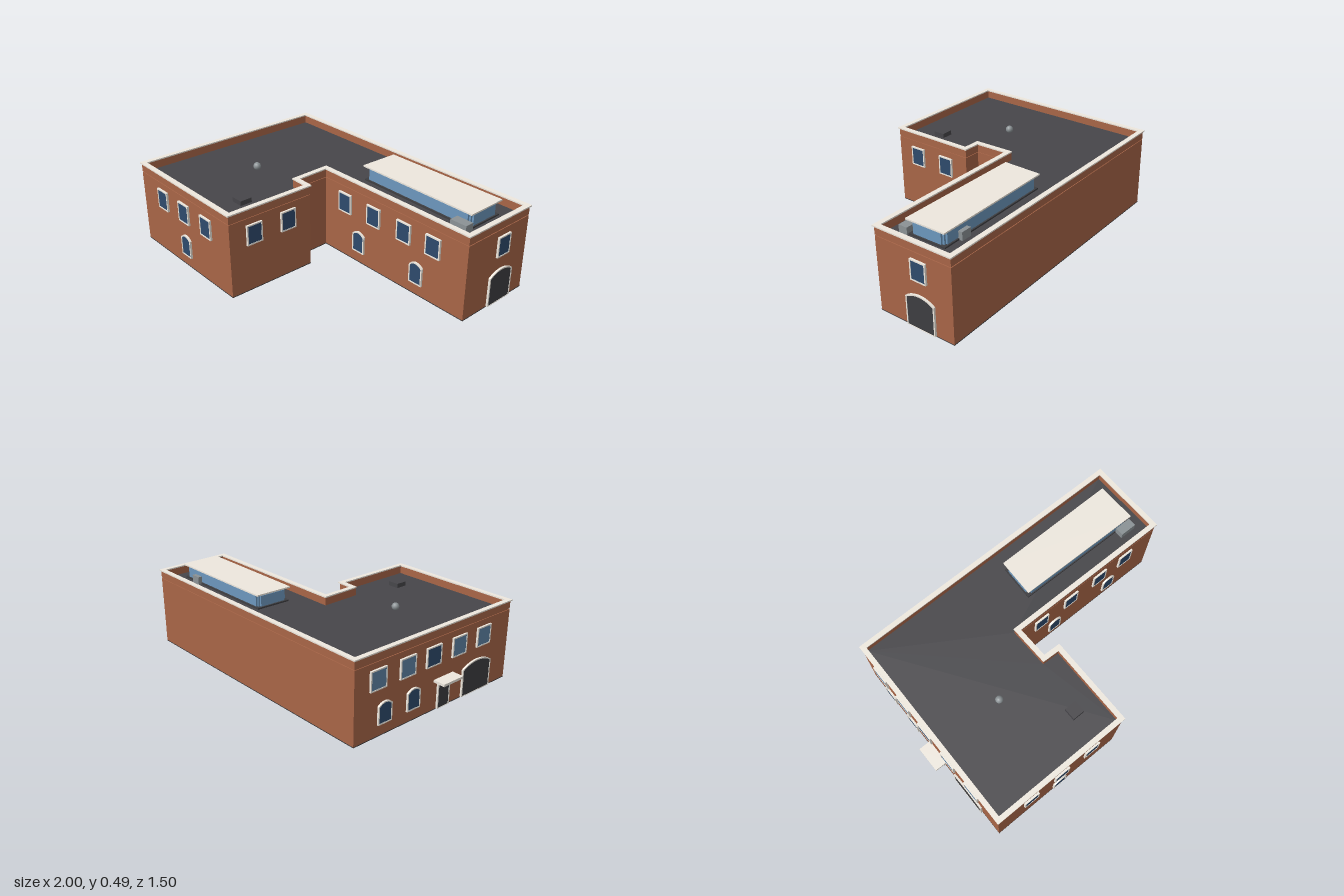
import * as THREE from 'three';

const mat = (color) => new THREE.MeshStandardMaterial({ color });
const BRICK = mat(0xa86547), STONE = mat(0xeee8de), ROOF = mat(0x47464a), DARK = mat(0x3e3e41);
const GLASS = mat(0x2e4a6c), PALEGLASS = mat(0x5f84a6), SKYGLASS = mat(0x6c97bd);
const METAL = mat(0x8b9295), BASE = mat(0x37373a);

// Wall footprint as [x, z], clockwise seen from above
const PLAN = [
  [-0.992, 0.05], [-0.18, -0.742], [0.992, 0.425], [0.677, 0.743],
  [-0.005, 0.06], [-0.14, 0.2], [-0.073, 0.272], [-0.427, 0.619],
];

const edgeNormal = (p, q) => {
  const l = Math.hypot(q[0] - p[0], q[1] - p[1]);
  return [(q[1] - p[1]) / l, -(q[0] - p[0]) / l];
};

// Mitred offset of a plan; positive grows it
function offset(pts, d) {
  return pts.map((p, i) => {
    const a = edgeNormal(pts[(i + pts.length - 1) % pts.length], p);
    const b = edgeNormal(p, pts[(i + 1) % pts.length]);
    const k = d / (1 + a[0] * b[0] + a[1] * b[1]);
    return [p[0] + (a[0] + b[0]) * k, p[1] + (a[1] + b[1]) * k];
  });
}

// Put an item on edge i of a plan, at fraction t along it, facing outward
function placeOn(plan, item, i, t) {
  const p = plan[i], q = plan[(i + 1) % plan.length], n = edgeNormal(p, q);
  item.position.x = p[0] + (q[0] - p[0]) * t;
  item.position.z = p[1] + (q[1] - p[1]) * t;
  item.rotation.y = Math.atan2(n[0], n[1]);
  return item;
}

// Vertical prism over a plan, with an optional hole wound the other way
function prism(name, pts, y0, y1, material, hole) {
  const vec = (list) => list.map(([x, z]) => new THREE.Vector2(x, -z));
  const shape = new THREE.Shape(vec(pts));
  if (hole) shape.holes.push(new THREE.Path(vec(hole).reverse()));
  const geo = new THREE.ExtrudeGeometry(shape, { depth: y1 - y0, bevelEnabled: false });
  geo.rotateX(-Math.PI / 2).translate(0, y0, 0);
  const mesh = new THREE.Mesh(geo, material);
  mesh.name = name;
  return mesh;
}

function box(name, w, h, d, x, y, z, material, turn = 0) {
  const mesh = new THREE.Mesh(new THREE.BoxGeometry(w, h, d), material);
  mesh.name = name;
  mesh.position.set(x, y, z);
  mesh.rotation.y = turn;
  return mesh;
}

// Opening outline: straight sides and an optional arched head
function outline(Type, w, y0, y1, rise) {
  const s = new Type();
  s.moveTo(-w / 2, y0);
  s.lineTo(w / 2, y0);
  s.lineTo(w / 2, y1 - rise);
  if (rise) {
    const r = (w * w / 4 + rise * rise) / (2 * rise);
    const half = Math.asin(Math.min(1, w / 2 / r));
    s.absarc(0, y1 - r, r, Math.PI / 2 - half, Math.PI / 2 + half, false);
  } else s.lineTo(-w / 2, y1);
  s.closePath();
  return s;
}

// Framed window or door, facing +z
function opening(name, w, y0, y1, rise, material) {
  const g = new THREE.Group();
  g.name = name;
  const f = 0.007;
  const bottom = y0 > 0.02 ? y0 + f : y0 + 0.003;
  const frameShape = outline(THREE.Shape, w, y0, y1, rise);
  frameShape.holes.push(outline(THREE.Path, w - 2 * f, bottom, y1 - f, rise * 0.9));
  const layer = (part, shape, depth, m) => {
    const geo = new THREE.ExtrudeGeometry(shape, { depth: depth + 0.005, bevelEnabled: false, curveSegments: 10 });
    const mesh = new THREE.Mesh(geo.translate(0, 0, -0.005), m);
    mesh.name = part;
    g.add(mesh);
  };
  layer('frame', frameShape, 0.011, STONE);
  layer('panel', outline(THREE.Shape, w - f, y0 + 0.002, y1 - f / 2, rise * 0.95), 0.009, material);
  return g;
}

export function createModel() {
  const model = new THREE.Group();
  model.name = 'building';

  // Shell: walls, recessed joint, parapet band, coping and flat roof
  const inner = offset(PLAN, -0.018);
  model.add(
    prism('groundSlab', offset(PLAN, 0.001), 0, 0.004, BASE),
    prism('walls', PLAN, 0.004, 0.404, BRICK),
    prism('parapetJoint', offset(PLAN, -0.004), 0.404, 0.409, BRICK, inner),
    prism('parapet', PLAN, 0.409, 0.452, BRICK, inner),
    prism('coping', offset(PLAN, 0.007), 0.452, 0.459, STONE, offset(PLAN, -0.021)),
    prism('flatRoof', inner, 0.4, 0.408, ROOF),
  );

  // Openings on wall i, at fraction t or at a given x
  const place = (item, i, t) => model.add(placeOn(PLAN, item, i, t));
  const tAtX = (i, x) => (x - PLAN[i][0]) / (PLAN[(i + 1) % PLAN.length][0] - PLAN[i][0]);
  const upper = (w = 0.092, glass = GLASS) => opening('upperWindow', w, 0.26, 0.37, 0, glass);
  const lower = (w = 0.083) => opening('archedWindow', w, 0.065, 0.185, 0.02, GLASS);

  // Front-facing walls
  [-0.845, -0.705, -0.565].forEach((x) => place(upper(), 7, tAtX(7, x)));
  place(lower(), 7, tAtX(7, -0.705));
  [-0.325, -0.177].forEach((x) => place(upper(), 6, tAtX(6, x)));
  [0.106, 0.253, 0.4, 0.533].forEach((x) => place(upper(), 3, tAtX(3, x)));
  [0.18, 0.465].forEach((x) => place(lower(), 3, tAtX(3, x)));

  // Wing end wall
  place(upper(), 2, 0.42);
  place(opening('wingDoor', 0.17, 0.004, 0.188, 0.027, DARK), 2, 0.42);

  // Back-left wall; fractions run from the left end corner
  [0.19, 0.36, 0.53, 0.693, 0.868].forEach((t, i) => place(upper(0.108, i === 2 ? GLASS : PALEGLASS), 0, t));
  [0.65, 0.825].forEach((t) => place(lower(0.092), 0, t));
  place(opening('garageDoor', 0.227, 0.004, 0.192, 0.032, DARK), 0, 0.225);
  const entrance = opening('entranceDoor', 0.092, 0.004, 0.152, 0, DARK);
  entrance.add(box('canopy', 0.145, 0.014, 0.075, 0, 0.168, 0.032, STONE));
  place(entrance, 0, 0.453);

  // Rooftop glazed storey on the wing, with a proud glass panel on each side
  const slab = [[0.192, 0.09], [0.35, -0.058], [0.856, 0.441], [0.697, 0.604]];
  const core = offset(slab, -0.022);
  model.add(
    prism('penthousePlinth', offset(slab, -0.006), 0.405, 0.416, DARK),
    prism('penthouseCore', core, 0.416, 0.485, SKYGLASS),
    prism('penthouseRoof', slab, 0.485, 0.493, STONE),
  );
  core.forEach((p, i) => {
    const q = core[(i + 1) % core.length];
    const length = Math.hypot(q[0] - p[0], q[1] - p[1]) - 0.02;
    model.add(placeOn(core, box('penthousePanel', length, 0.06, 0.02, 0, 0.448, 0, SKYGLASS), i, 0.5));
  });

  // Roof equipment
  const turn = Math.PI / 4;
  model.add(
    box('airUnit', 0.095, 0.04, 0.05, 0.655, 0.428, 0.584, METAL, -turn),
    box('sideUnit', 0.06, 0.045, 0.03, 0.758, 0.43, 0.35, METAL, -turn),
    box('roofHatch', 0.067, 0.026, 0.067, -0.4, 0.42, 0.376, ROOF, turn),
  );
  const vent = new THREE.Mesh(new THREE.SphereGeometry(0.021, 12, 8), METAL);
  vent.name = 'roofVent';
  vent.position.set(-0.38, 0.428, -0.007);
  model.add(vent);

  return model;
}
